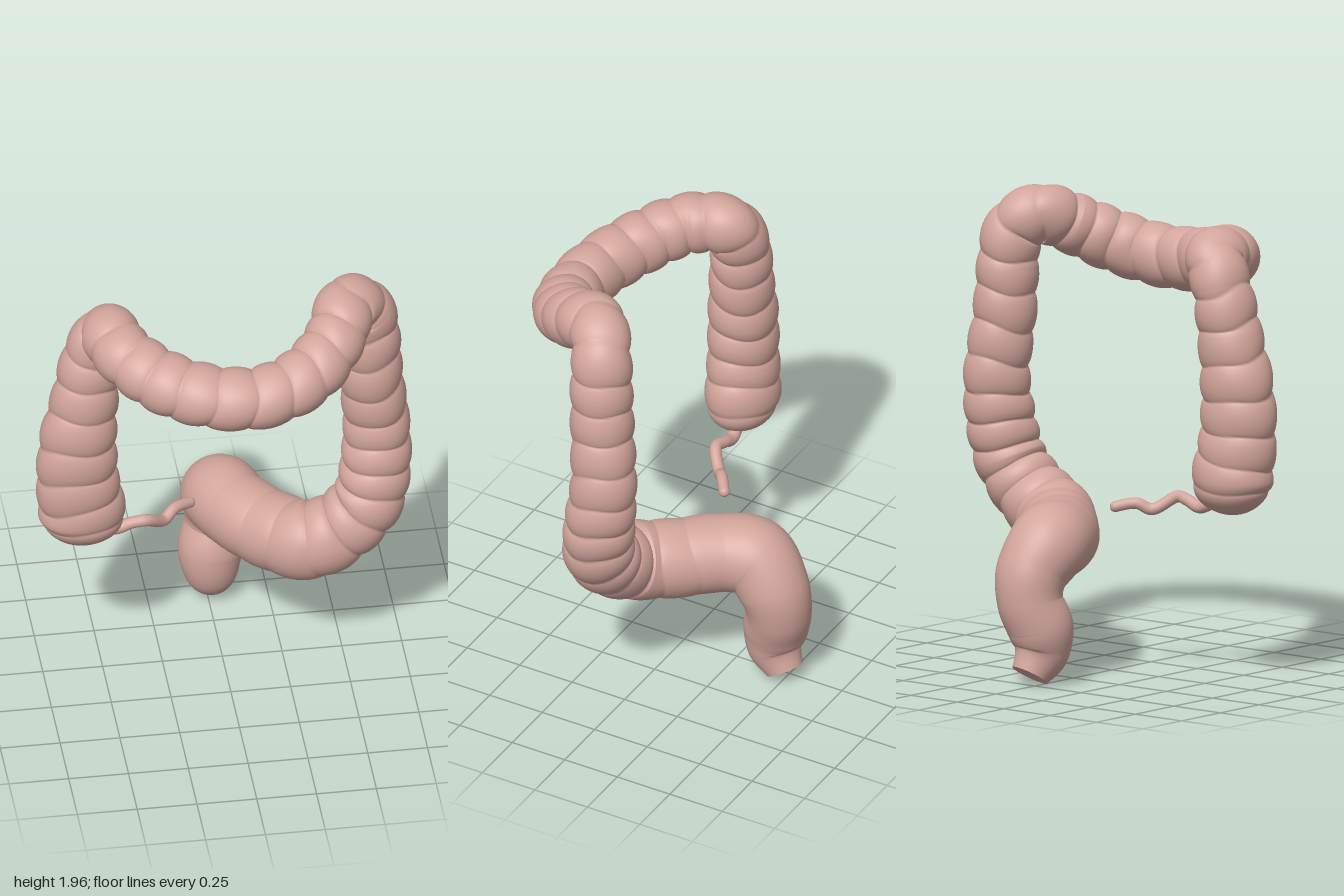
import * as THREE from 'three';

const { smoothstep } = THREE.MathUtils;
const material = new THREE.MeshStandardMaterial({ color: 0xd2a59b });

// Sweeps a tube along stations [x, y, z, radius]. Pouches are rounded swellings
// between sharp creases; pouchDepth and depthScale are rules of the station number.
function sweep(stations, { rings, sides, domeStart, domeEnd, pouchDepth = () => 0, depthScale = () => 1 }) {
  const pitch = 0.13;
  const path = new THREE.CatmullRomCurve3(stations.map(s => new THREE.Vector3(s[0], s[1], s[2])));
  path.arcLengthDivisions = 1000;
  const size = new THREE.CatmullRomCurve3(
    stations.map(s => new THREE.Vector3(s[3], 0, 0)), false, 'catmullrom', 0.4);
  const length = path.getLength();
  const frames = path.computeFrenetFrames(rings, false);
  const dome = (d, r) => (d >= r ? 1 : Math.sqrt(Math.max(0, 1 - (1 - d / r) ** 2)));
  const positions = [], index = [];

  for (let i = 0; i <= rings; i++) {
    const s = (i / rings) * length;
    const t = path.getUtoTmapping(i / rings);
    const c = path.getPoint(t), n = frames.normals[i], b = frames.binormals[i];
    const station = t * (stations.length - 1);
    const depth = pouchDepth(station), zScale = depthScale(station);
    const radius = size.getPoint(t).x;
    let base = radius;
    if (domeStart) base *= dome(s, radius * 0.8);
    if (domeEnd) base *= dome(length - s, radius);
    for (let j = 0; j < sides; j++) {
      const a = (j / sides) * Math.PI * 2;
      // creases wander and tilt a little around the tube
      const phase = s / pitch + 0.22 * Math.sin(s * 5.3) + 0.13 * Math.sin(a + s * 2.3)
        + 0.05 * Math.sin(3 * a + s * 7);
      const pouch = Math.abs(Math.sin(Math.PI * phase)) ** 0.6;
      const band = 0.15 * depth * (Math.cos(3 * a) - 1);
      const r = base * (1 + depth * (pouch - 1) + band);
      const ca = Math.cos(a) * r, sa = Math.sin(a) * r;
      positions.push(c.x + n.x * ca + b.x * sa, c.y + n.y * ca + b.y * sa,
        c.z + (n.z * ca + b.z * sa) * zScale);
      if (i < rings) {
        const j2 = (j + 1) % sides, p = i * sides, q = p + sides;
        index.push(p + j, p + j2, q + j, p + j2, q + j2, q + j);
      }
    }
  }
  const geometry = new THREE.BufferGeometry();
  geometry.setAttribute('position', new THREE.Float32BufferAttribute(positions, 3));
  geometry.setIndex(index);
  geometry.computeVertexNormals();
  return { geometry, path };
}

function addMesh(group, name, geometry) {
  const mesh = new THREE.Mesh(geometry, material);
  mesh.name = name;
  group.add(mesh);
  return mesh;
}

export function createModel() {
  const group = new THREE.Group();
  group.name = 'largeIntestine';

  // Route of the main tube, from the blind pouch round to the outlet
  const ascending = [
    [-0.60, 0.735, 0.06, 0.17], [-0.595, 0.88, 0.06, 0.185], [-0.615, 1.05, 0.07, 0.178],
    [-0.615, 1.25, 0.07, 0.168], [-0.58, 1.50, 0.06, 0.143], [-0.55, 1.68, 0.05, 0.13],
    [-0.495, 1.79, 0.07, 0.13],
  ];
  const transverse = [
    [-0.44, 1.785, 0.22, 0.132], [-0.30, 1.735, 0.36, 0.138], [-0.10, 1.70, 0.45, 0.138],
    [0.10, 1.69, 0.465, 0.137], [0.30, 1.735, 0.40, 0.137], [0.44, 1.82, 0.26, 0.132],
    [0.50, 1.87, 0.13, 0.13],
  ];
  const descending = [
    [0.58, 1.81, 0.065, 0.13], [0.605, 1.65, 0.05, 0.135], [0.615, 1.45, 0.04, 0.138],
    [0.64, 1.20, 0.02, 0.143], [0.635, 1.00, 0.04, 0.152], [0.60, 0.83, 0.065, 0.155],
  ];
  const sigmoid = [
    [0.50, 0.71, 0.07, 0.16], [0.36, 0.625, 0.05, 0.17], [0.22, 0.595, -0.08, 0.168],
    [0.09, 0.60, -0.24, 0.165],
  ];
  const rectum = [
    [0.045, 0.59, -0.36, 0.167], [0.055, 0.48, -0.455, 0.15], [0.045, 0.37, -0.475, 0.137],
    [0.015, 0.26, -0.445, 0.137], [0.015, 0.16, -0.44, 0.117], [0.03, 0.065, -0.495, 0.08],
  ];

  // Pouched over most of its length, smooth in the rectum; flatter front to back at the start
  const colon = sweep([...ascending, ...transverse, ...descending, ...sigmoid, ...rectum], {
    rings: 1000, sides: 48, domeStart: true,
    pouchDepth: k => 0.06 + 0.055 * smoothstep(k, 0, 3) - 0.115 * smoothstep(k, 19, 24),
    depthScale: k => 0.83 + 0.17 * smoothstep(k, 2, 5),
  });
  addMesh(group, 'colon', colon.geometry);

  // Flat face closing the outlet
  const outlet = addMesh(group, 'outletFace', new THREE.CircleGeometry(0.08, 48));
  outlet.position.copy(colon.path.getPoint(1));
  outlet.quaternion.setFromUnitVectors(new THREE.Vector3(0, 0, 1), colon.path.getTangent(1));

  // Thin wavy appendix hanging off the blind pouch
  const appendix = sweep([
    [-0.56, 0.82, 0.05, 0.03], [-0.45, 0.755, 0.03, 0.027], [-0.385, 0.775, 0.03, 0.025],
    [-0.325, 0.785, 0.035, 0.025], [-0.24, 0.73, -0.03, 0.025], [-0.19, 0.755, -0.07, 0.024],
    [-0.10, 0.735, -0.135, 0.023],
  ], { rings: 120, sides: 16, domeEnd: true });
  addMesh(group, 'appendix', appendix.geometry);

  return group;
}
